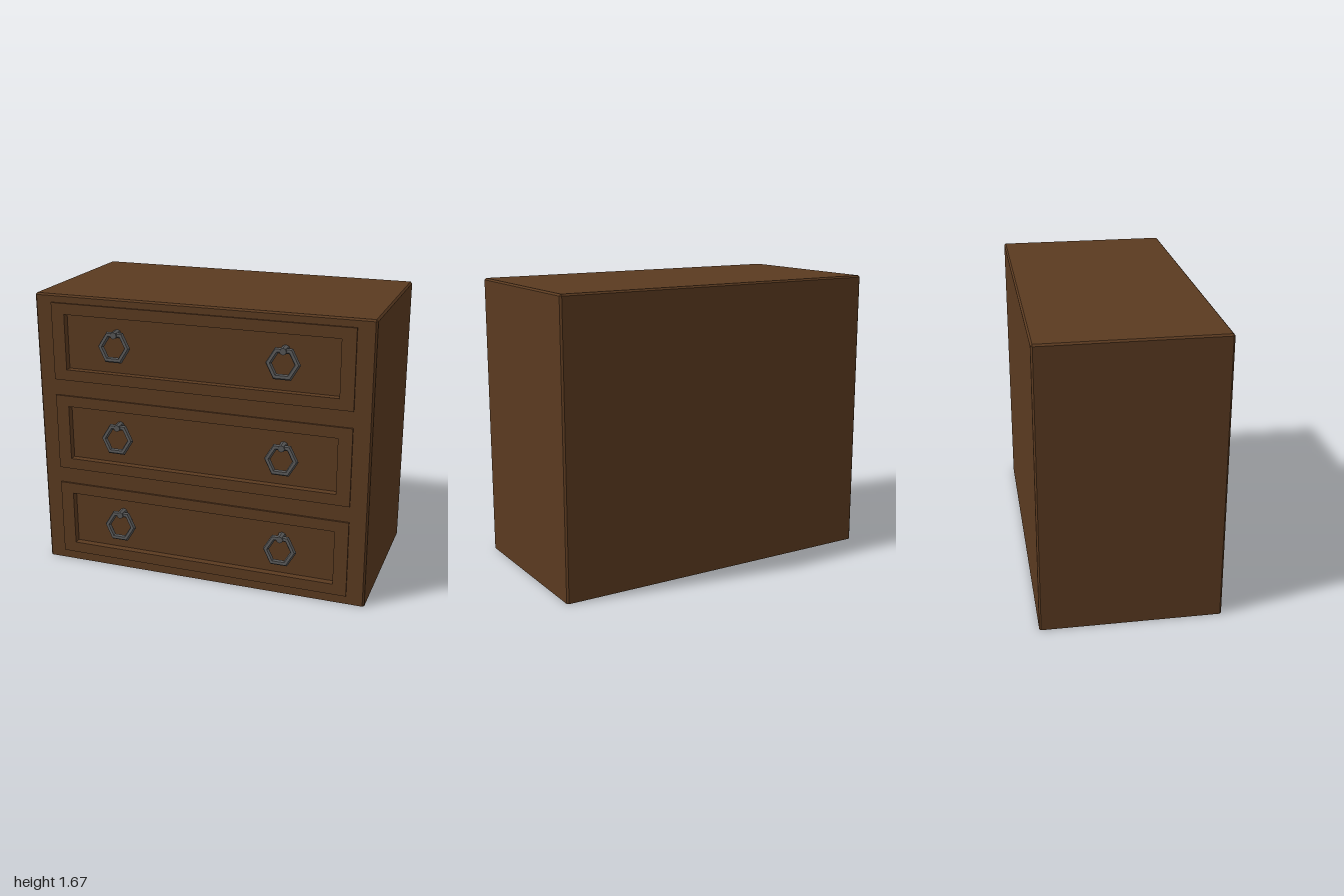
import * as THREE from 'three';

const W = 1, H = 1.675, BACK = -0.54, FRONT = 0.495, C = 0.01;
const FACE = 0.506, FLOOR = 0.465;
const DRAWER = { w: 1.79, h: 0.46 }, PANEL = { w: 1.63, h: 0.33 };
const DRAWER_Y = [0.283, 0.84, 1.397];

const wood = new THREE.MeshStandardMaterial({ color: 0x5a3a20, flatShading: true });
const metal = new THREE.MeshStandardMaterial({ color: 0x555555, flatShading: true });

function add(parent, name, geometry, material, x = 0, y = 0, z = 0) {
  const mesh = new THREE.Mesh(geometry, material);
  mesh.name = name;
  mesh.position.set(x, y, z);
  parent.add(mesh);
  return mesh;
}

// Rectangle outline centred on (0, y)
function rect(Type, w, h, y = 0) {
  const p = new Type();
  p.moveTo(-w / 2, y - h / 2);
  p.lineTo(w / 2, y - h / 2);
  p.lineTo(w / 2, y + h / 2);
  p.lineTo(-w / 2, y + h / 2);
  p.closePath();
  return p;
}

// Chamfered case from stacked outlines; the front side stays open for the face frame
function caseGeometry() {
  const loop = (y, inset) => {
    const x = W - inset, b = BACK + inset, f = FRONT - inset;
    return [[-W + C, f], [W - C, f], [x, FRONT - C], [x, BACK + C],
      [W - C, b], [-W + C, b], [-x, BACK + C], [-x, FRONT - C]]
      .map(([px, pz]) => [px, y, pz]);
  };
  const rings = [loop(0, 0), loop(H - C, 0), loop(H, C)];
  const pos = [];
  const tri = (a, b, c) => pos.push(...a, ...b, ...c);
  for (let r = 0; r < 2; r++) {
    for (let i = 0; i < 8; i++) {
      if (r === 0 && i === 0) continue;
      const j = (i + 1) % 8;
      const [a, b, c, d] = [rings[r][i], rings[r][j], rings[r + 1][j], rings[r + 1][i]];
      tri(a, b, c);
      tri(a, c, d);
    }
  }
  // Top and bottom
  for (let i = 1; i < 7; i++) {
    tri(rings[2][0], rings[2][i], rings[2][i + 1]);
    tri(rings[0][0], rings[0][i + 1], rings[0][i]);
  }
  const g = new THREE.BufferGeometry();
  g.setAttribute('position', new THREE.Float32BufferAttribute(pos, 3));
  g.computeVertexNormals();
  return g;
}

// Hexagonal ring pull hanging from a small knob
function makeHandle(x) {
  const handle = new THREE.Group();
  handle.name = 'handle';
  handle.position.x = x;
  const ring = add(handle, 'ringPull', new THREE.TorusGeometry(0.082, 0.018, 6, 6), metal, 0, 0, 0.514);
  ring.rotation.x = -0.18;
  const stud = new THREE.CylinderGeometry(0.02, 0.025, 0.058, 8);
  stud.rotateX(Math.PI / 2);
  add(handle, 'knob', stud, metal, 0, 0.07, FLOOR + 0.029);
  return handle;
}

// Raised border around a sunken panel, with two pulls
function makeDrawer(y) {
  const drawer = new THREE.Group();
  drawer.name = 'drawer';
  drawer.position.y = y;
  const border = rect(THREE.Shape, DRAWER.w, DRAWER.h);
  border.holes.push(rect(THREE.Path, PANEL.w, PANEL.h));
  add(drawer, 'drawerBorder',
    new THREE.ExtrudeGeometry(border, { depth: FACE - FLOOR, bevelEnabled: false }), wood, 0, 0, FLOOR);
  add(drawer, 'drawerPanel', new THREE.PlaneGeometry(PANEL.w, PANEL.h), wood, 0, 0, FLOOR);
  for (const side of [-1, 1]) drawer.add(makeHandle(side * 0.5));
  return drawer;
}

export function createModel() {
  const model = new THREE.Group();
  model.name = 'chestOfDrawers';
  add(model, 'case', caseGeometry(), wood);

  // Front face with an opening for each drawer
  const face = rect(THREE.Shape, 2 * (W - C), H - C, (H - C) / 2);
  for (const y of DRAWER_Y) face.holes.push(rect(THREE.Path, DRAWER.w, DRAWER.h, y));
  add(model, 'faceFrame', new THREE.ShapeGeometry(face), wood, 0, 0, FRONT);

  for (const y of DRAWER_Y) model.add(makeDrawer(y));
  return model;
}
